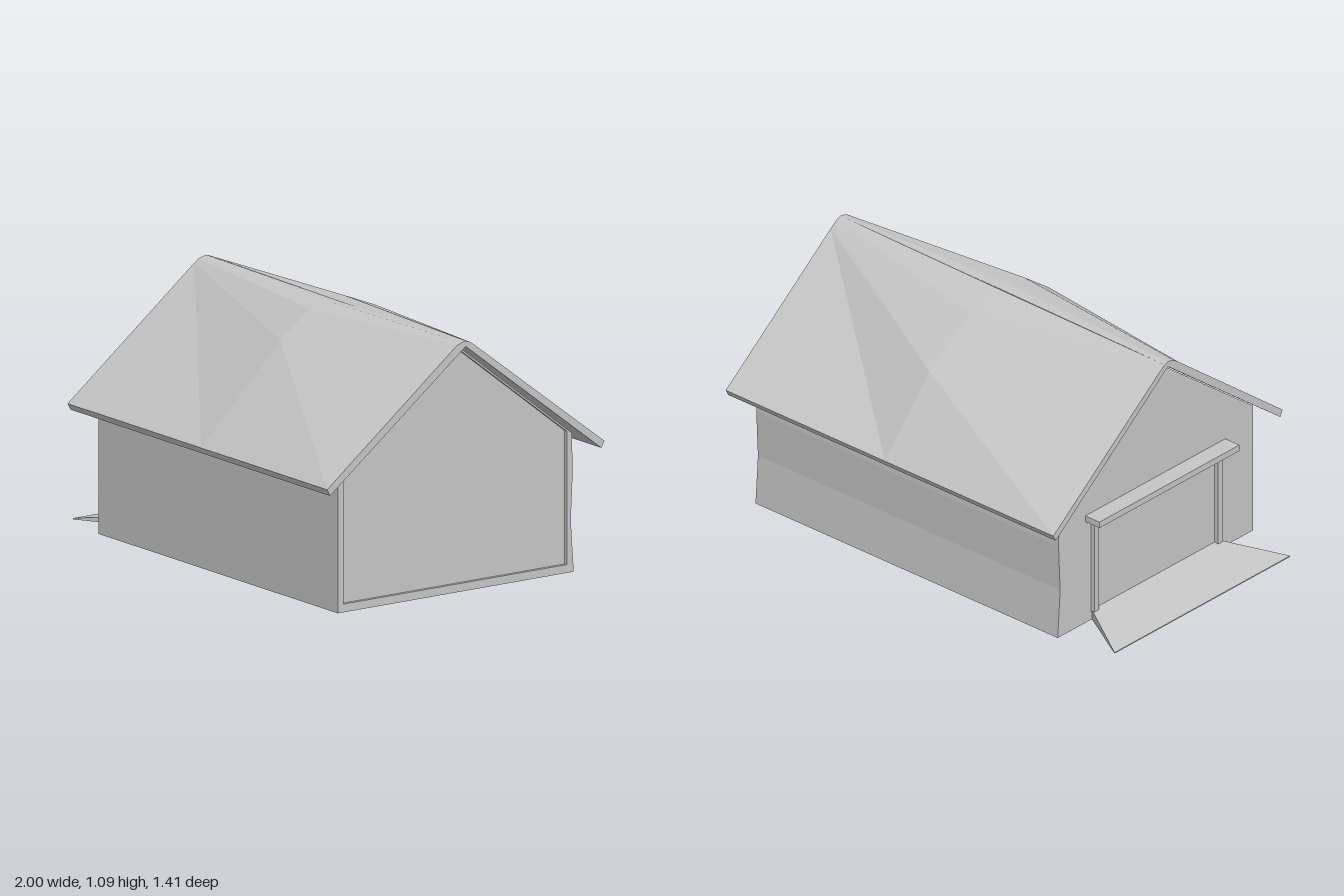
import * as THREE from 'three';

const grey = new THREE.MeshStandardMaterial({ color: 0xc6c6c6, flatShading: true });
grey.name = 'plain grey';

// Skins closed cross-sections [x, [[z, y], ...]] along x and caps both ends.
function loft(sections) {
  const n = sections[0][1].length;
  const pos = [], index = [];
  for (const [x, pts] of sections) for (const [z, y] of pts) pos.push(x, y, z);
  for (let s = 0; s < sections.length - 1; s++) {
    for (let i = 0; i < n; i++) {
      const j = (i + 1) % n, a = s * n, b = a + n;
      index.push(a + i, a + j, b + j, a + i, b + j, b + i);
    }
  }
  const cap = (s, flip) => {
    const outline = sections[s][1].map(([z, y]) => new THREE.Vector2(-z, y));
    for (const [a, b, c] of THREE.ShapeUtils.triangulateShape(outline, [])) {
      const o = s * n;
      if (flip) index.push(o + a, o + c, o + b);
      else index.push(o + a, o + b, o + c);
    }
  };
  cap(0, true);
  cap(sections.length - 1, false);
  let g = new THREE.BufferGeometry();
  g.setAttribute('position', new THREE.Float32BufferAttribute(pos, 3));
  g.setIndex(index);
  g = g.toNonIndexed();
  g.computeVertexNormals();
  return g;
}

export function createModel() {
  const group = new THREE.Group();
  group.name = 'barn';
  const add = (name, geometry, x = 0, y = 0, z = 0) => {
    const mesh = new THREE.Mesh(geometry, grey);
    mesh.name = name;
    mesh.position.set(x, y, z);
    group.add(mesh);
  };

  // Walls, slightly warped at the back, with a shallow recess in the far gable
  const outer = [[0.6, 0], [-0.6, 0], [-0.585, 0.22], [-0.595, 0.43], [-0.59, 0.59], [0, 1.05], [0.6, 0.59]];
  const inner = [[0.57, 0.035], [-0.565, 0.035], [-0.565, 0.22], [-0.565, 0.43], [-0.565, 0.6], [0, 1.04], [0.57, 0.6]];
  add('walls', loft([[-0.74, outer], [0.93, outer], [0.93, inner], [0.915, inner]]));

  // Roof: straight underside, top bulging towards the middle of its length
  const under = [[0.69, 0.525], [0, 1.056], [-0.69, 0.525]];
  const end = [...under, [-0.705, 0.553], [-0.06, 1.045], [-0.04, 1.06], [-0.02, 1.073],
    [0, 1.08], [0.02, 1.076], [0.04, 1.069], [0.06, 1.055], [0.705, 0.553]];
  const middle = [...under, [-0.705, 0.553], [-0.43, 0.86], [-0.18, 1.03], [-0.03, 1.09],
    [0, 1.07], [0.05, 1.075], [0.15, 1.06], [0.3, 0.95], [0.705, 0.553]];
  add('roof', loft([[-0.81, end], [0.12, middle], [1, end]]));

  // Doorway: posts, lintel shelf and flared ramp
  for (const side of [-1, 1]) {
    add('doorPost', new THREE.BoxGeometry(0.02, 0.44, 0.03), -0.748, 0.26, side * 0.38);
  }
  add('doorLintel', new THREE.BoxGeometry(0.08, 0.028, 0.86), -0.778, 0.492, 0);
  const wedge = (w, h) => [[w, 0], [-w, 0], [-w, h], [w, h]];
  add('ramp', loft([[-1, wedge(0.54, 0.005)], [-0.74, wedge(0.39, 0.045)]]));

  return group;
}
